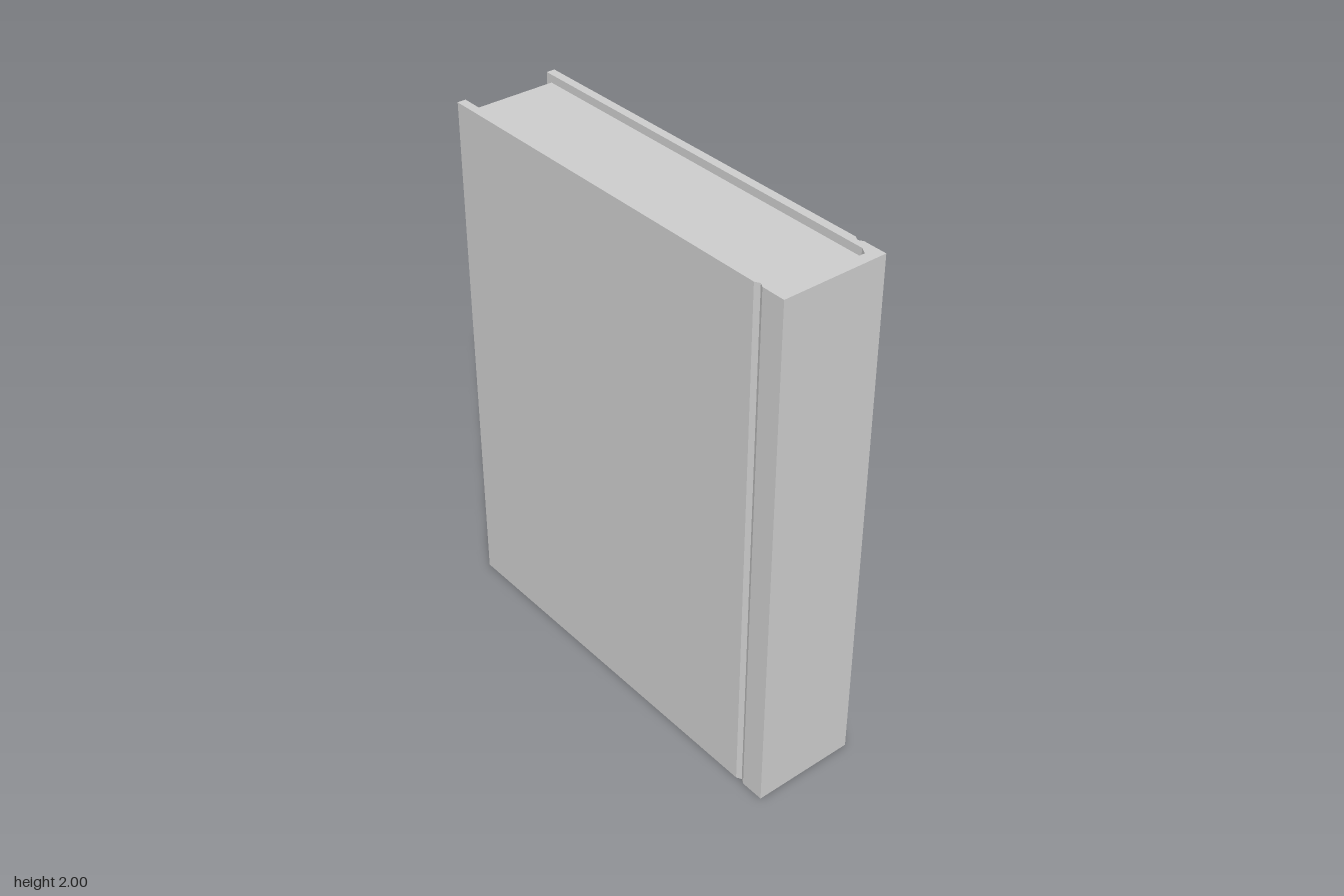
import * as THREE from 'three';

// Extrudes a half outline (x > 0 side, [x, z] from back to front), mirrored in x, between two heights.
function extrudeUp(points, y0, y1) {
  const shape = new THREE.Shape(points.map(([x, z]) => new THREE.Vector2(x, -z)));
  const geometry = new THREE.ExtrudeGeometry(shape, { depth: y1 - y0, bevelEnabled: false });
  geometry.rotateX(-Math.PI / 2);
  geometry.translate(0, y0, 0);
  return geometry;
}

const mirror = (half) => [...half, ...half.map(([x, z]) => [-x, z]).reverse()];

export function createModel() {
  const book = new THREE.Group();
  book.name = 'book';
  const material = new THREE.MeshStandardMaterial({ color: 0xcccccc, flatShading: true });

  const add = (name, geometry) => {
    const mesh = new THREE.Mesh(geometry, material);
    mesh.name = name;
    book.add(mesh);
  };

  // Inner edge of the cover, shared with the page block
  const inner = [[0.168, 0.733], [0.153, 0.76]];

  // Cover: two boards and a flat spine in one U, with a hinge groove on each side
  const outer = [[0.2, -0.8], [0.2, 0.674], [0.19, 0.692], [0.2, 0.71], [0.2, 0.8]];
  const inside = mirror([[0.168, -0.8], ...inner]).reverse();
  add('cover', extrudeUp([...mirror(outer), ...inside], 0, 2));

  // Page block, set in at the top, bottom and open edge
  add('pages', extrudeUp(mirror([[0.168, -0.775], ...inner]), 0.03, 1.97));

  return book;
}
